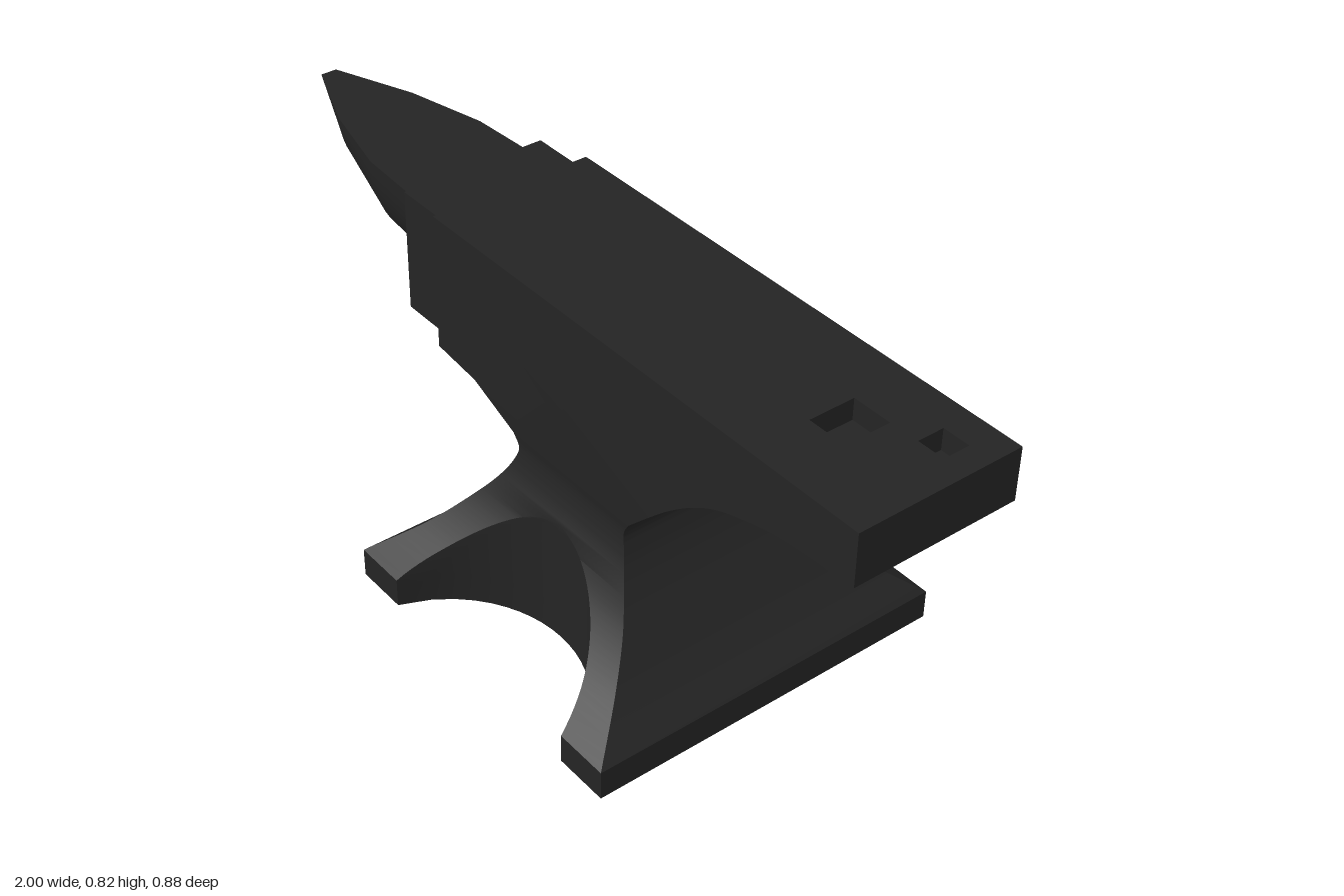
import * as THREE from 'three';
import { toCreasedNormals } from 'three/addons/utils/BufferGeometryUtils.js';

const iron = new THREE.MeshStandardMaterial({ color: 0x242424 });
iron.name = 'darkIron';

const V = (x, y, z) => new THREE.Vector3(x, y, z);

function addMesh(group, name, geometry) {
  const mesh = new THREE.Mesh(toCreasedNormals(geometry, 0.55), iron);
  mesh.name = name;
  group.add(mesh);
}

// Skins closed loops of points; capStart closes the first loop between its mirrored halves.
function loft(rows, capStart = false) {
  const n = rows[0].length;
  const index = [];
  for (let i = 0; i < rows.length - 1; i++) {
    for (let j = 0; j < n; j++) {
      const a = i * n + j, b = i * n + (j + 1) % n;
      index.push(a, b, b + n, a, b + n, a + n);
    }
  }
  if (capStart) {
    for (let k = 0; k < n / 2 - 1; k++) {
      const back = n - 1 - k;
      index.push(back, back - 1, k + 1, back, k + 1, k);
    }
  }
  const geometry = new THREE.BufferGeometry().setFromPoints(rows.flat());
  geometry.setIndex(index);
  return geometry.toNonIndexed();
}

// Flared foot: rectangular sections scooped front and back by an upright cylinder
function footGeometry() {
  const cx = 0.176, radius = 0.308, scoopZ = 0.528, steps = 20;
  const flare = new THREE.CatmullRomCurve3([
    // half width, height, half depth
    V(0.425, 0.07, 0.44), V(0.333, 0.155, 0.332), V(0.27, 0.23, 0.265),
    V(0.217, 0.30, 0.222), V(0.189, 0.35, 0.2), V(0.177, 0.388, 0.192), V(0.193, 0.42, 0.194),
  ]).getPoints(42);
  const sections = [V(0.425, 0, 0.44), ...flare];
  const rows = sections.map(({ x: hx, y, z: hz }) => {
    const reach = radius ** 2 - (scoopZ - hz) ** 2;
    const xc = reach > 0 ? Math.sqrt(reach) : 0;
    const front = [V(cx - hx, y, hz)];
    for (let k = 0; k <= steps; k++) {
      const dx = xc * (2 * k / steps - 1);
      const z = Math.min(hz, scoopZ - Math.sqrt(radius ** 2 - dx * dx));
      front.push(V(cx + dx, y, z));
    }
    front.push(V(cx + hx, y, hz));
    const back = front.map(p => V(p.x, p.y, -p.z)).reverse();
    return [...front, ...back];
  });
  return loft(rows, true);
}

// Body below the face plate, narrowing slightly into the waist
function bodyGeometry(seam, half) {
  const shape = new THREE.Shape();
  shape.moveTo(-0.28, seam);
  shape.lineTo(-0.28, 0.495);
  shape.lineTo(-0.15, 0.48);
  shape.lineTo(-0.017, 0.42);
  shape.lineTo(0.369, 0.42);
  shape.splineThru([[0.5, 0.545], [0.61, 0.622], [0.72, 0.662], [0.83, 0.685], [1, 0.697]]
    .map(([x, y]) => new THREE.Vector2(x, y)));
  shape.lineTo(1, seam);
  const geometry = new THREE.ExtrudeGeometry(shape, { depth: 2 * half, bevelEnabled: false, curveSegments: 20 });
  geometry.translate(0, 0, -half);
  const pos = geometry.attributes.position;
  for (let i = 0; i < pos.count; i++) {
    const t = THREE.MathUtils.clamp((0.49 - pos.getY(i)) / 0.07, 0, 1);
    pos.setZ(i, pos.getZ(i) * (1 - 0.02 * t));
  }
  return geometry;
}

// Flat face plate with two square tool holes
function plateGeometry(seam, top, half) {
  const rect = (path, x0, x1, z0, z1) => {
    path.moveTo(x0, -z1);
    path.lineTo(x1, -z1);
    path.lineTo(x1, -z0);
    path.lineTo(x0, -z0);
    path.closePath();
    return path;
  };
  const shape = rect(new THREE.Shape(), -0.28, 1, -half, half);
  shape.holes.push(
    rect(new THREE.Path(), 0.71, 0.805, -0.06, 0.05),
    rect(new THREE.Path(), 0.875, 0.94, -0.125, -0.062),
  );
  const geometry = new THREE.ExtrudeGeometry(shape, { depth: top - seam, bevelEnabled: false });
  geometry.rotateX(-Math.PI / 2);
  geometry.translate(0, seam, 0);
  return geometry;
}

// Horn: flat on top, rounded belly, drawn out to a tip
function hornGeometry() {
  const top = 0.782, steps = 24;
  const rows = [[-0.41, 0.155, 0.247], [-0.6, 0.145, 0.227], [-0.8, 0.098, 0.147], [-1, 0.02, 0]]
    .map(([x, half, drop]) => Array.from({ length: steps + 1 }, (_, k) => {
      const t = Math.PI * k / steps;
      return V(x, top - drop * Math.sin(t), -half * Math.cos(t));
    }));
  return loft(rows);
}

export function createModel() {
  const group = new THREE.Group();
  group.name = 'anvil';
  const seam = 0.77, top = 0.82, half = 0.198;
  addMesh(group, 'foot', footGeometry());
  addMesh(group, 'body', bodyGeometry(seam, half));
  addMesh(group, 'facePlate', plateGeometry(seam, top, half));
  // Step between face and horn
  const step = new THREE.BoxGeometry(0.14, 0.29, 0.356);
  step.translate(-0.347, 0.66, 0);
  addMesh(group, 'step', step);
  addMesh(group, 'horn', hornGeometry());
  return group;
}
